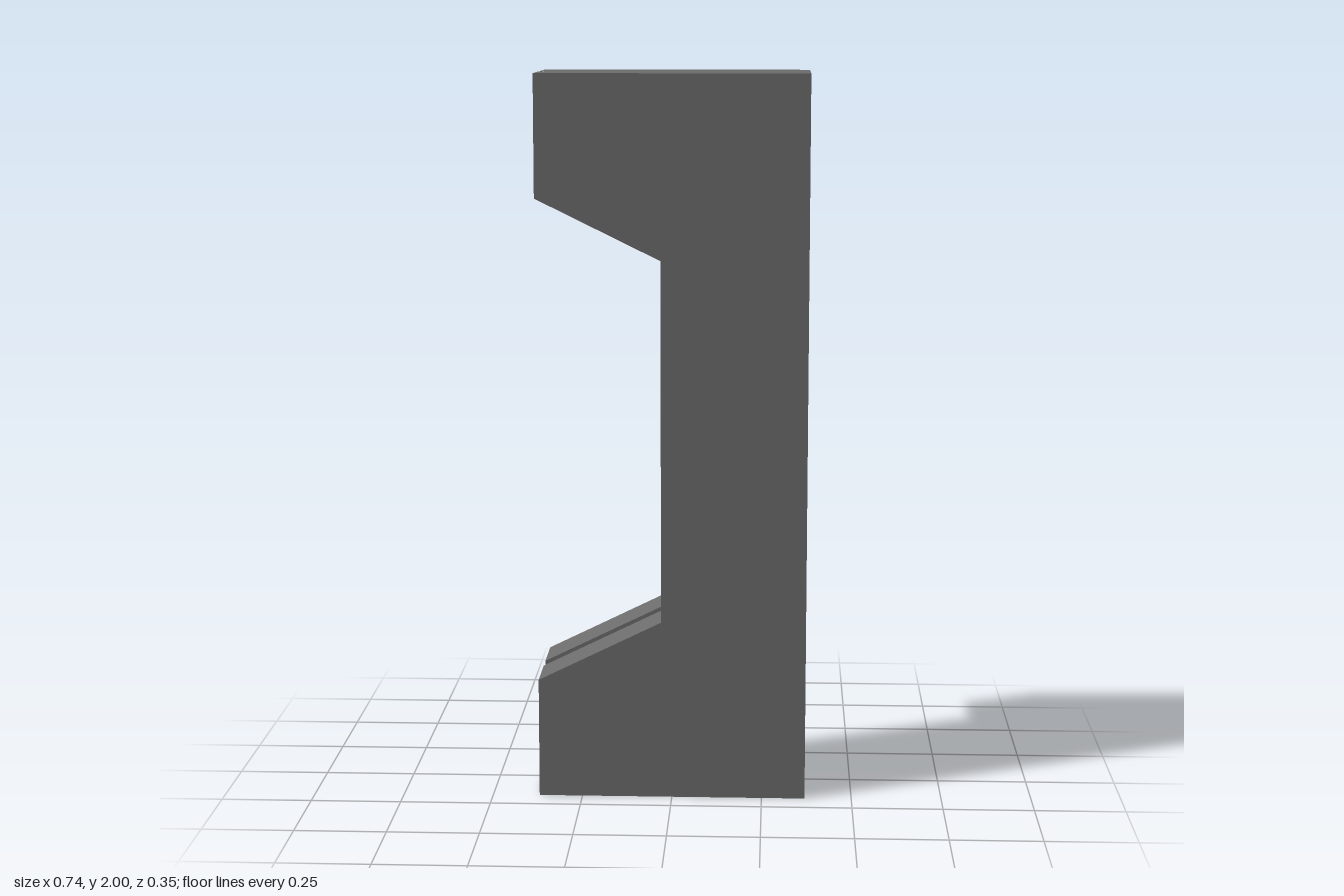
import * as THREE from 'three';

const RIGHT = 0.37;   // straight back of the bracket
const HALF = 0.174;   // half thickness
const GROOVE = 0.025; // half width of the groove

// Stepped edge from bottom to top: [x, y] on the edge and [x, y] on the groove floor.
// The groove is shallow on the leg ends and deep along the slopes and the recess.
const lower = [
  [-0.37, 0, -0.357, 0],
  [-0.37, 0.333, -0.357, 0.295],
  [-0.03, 0.5, 0.01, 0.475],
];
const stations = [
  ...lower,
  ...lower.slice().reverse().map(([x, y, gx, gy]) => [x, 2 - y, gx, 2 - gy]),
];

// Cross-section loop: a rectangle with a notch in its -x side
function ring([x, y, gx, gy]) {
  return [
    [RIGHT, y, -HALF], [RIGHT, y, HALF],
    [x, y, HALF], [x, y, GROOVE],
    [gx, gy, GROOVE], [gx, gy, -GROOVE],
    [x, y, -GROOVE], [x, y, -HALF],
  ];
}

function bracketGeometry() {
  const positions = [];
  const quad = (a, b, c, d) => positions.push(...a, ...b, ...c, ...a, ...c, ...d);
  const rings = stations.map(ring);

  // Walls between neighbouring loops
  for (let i = 0; i < rings.length - 1; i++) {
    const lo = rings[i], hi = rings[i + 1];
    for (let j = 0; j < 8; j++) {
      const k = (j + 1) % 8;
      quad(lo[k], lo[j], hi[j], hi[k]);
    }
  }

  // Bottom and top ends, each split around the notch
  const first = rings[0], last = rings[rings.length - 1];
  for (const [a, b, c, d] of [[0, 1, 4, 5], [1, 2, 3, 4], [7, 0, 5, 6]]) {
    quad(first[a], first[b], first[c], first[d]);
    quad(last[d], last[c], last[b], last[a]);
  }

  const geometry = new THREE.BufferGeometry();
  geometry.setAttribute('position', new THREE.Float32BufferAttribute(positions, 3));
  geometry.computeVertexNormals();
  return geometry;
}

export function createModel() {
  const group = new THREE.Group();
  group.name = 'groovedBracket';

  const dark = new THREE.MeshStandardMaterial({ color: 0x6c6c6c, flatShading: true });
  const body = new THREE.Mesh(bracketGeometry(), dark);
  body.name = 'bracketBody';
  group.add(body);

  // Thin light strips lining the groove on the two leg ends
  const light = new THREE.MeshStandardMaterial({ color: 0xcccccc, flatShading: true });
  const stripGeometry = new THREE.BoxGeometry(0.004, 0.3, 2 * GROOVE);
  for (const [name, y] of [['lowerGrooveStrip', 0.15], ['upperGrooveStrip', 1.85]]) {
    const strip = new THREE.Mesh(stripGeometry, light);
    strip.name = name;
    strip.position.set(-0.358, y, 0);
    group.add(strip);
  }
  return group;
}
